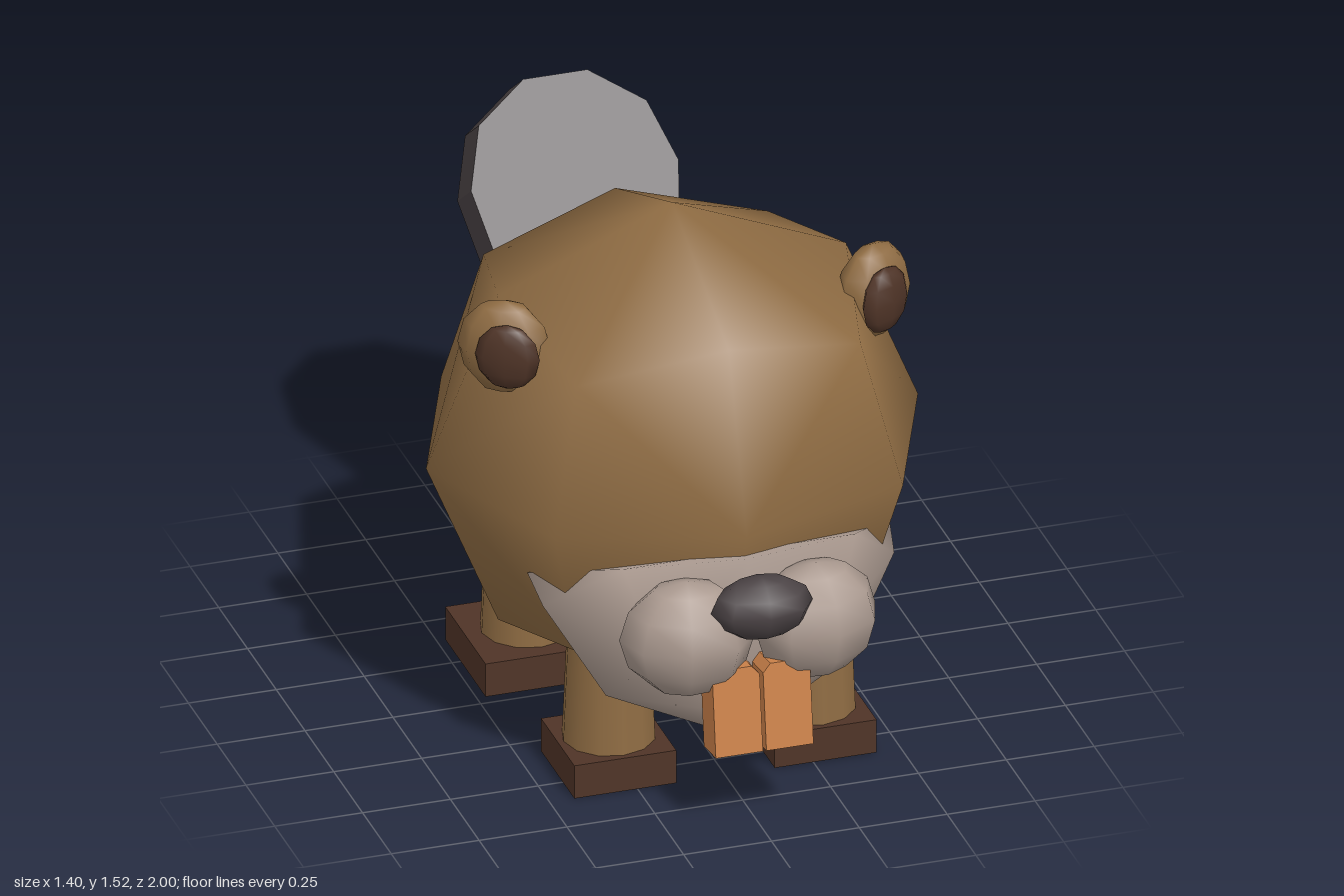
import * as THREE from 'three';
import { mergeVertices } from 'three/addons/utils/BufferGeometryUtils.js';
import { ConvexGeometry } from 'three/addons/geometries/ConvexGeometry.js';

function paint(name, color) {
  const m = new THREE.MeshStandardMaterial({ color });
  m.name = name;
  return m;
}

// Smooth-shaded convex hull around a few points
function smoothHull(points) {
  let g = new ConvexGeometry(points);
  g.deleteAttribute('normal');
  g = mergeVertices(g, 1e-4);
  g.computeVertexNormals();
  return g;
}

export function createModel() {
  const fur = paint('brownFur', 0x8f6c43);
  const darkBrown = paint('darkBrown', 0x4f3427);
  const charcoal = paint('charcoal', 0x4a4244);
  const pale = paint('paleMuzzle', 0xab9a90);
  const orange = paint('orangeTeeth', 0xcc824a);

  const model = new THREE.Group();
  model.name = 'animal';

  function add(name, geometry, material, x = 0, y = 0, z = 0) {
    const mesh = new THREE.Mesh(geometry, material);
    mesh.name = name;
    mesh.position.set(x, y, z);
    model.add(mesh);
    return mesh;
  }

  function ellipsoid(name, material, pos, radii, w = 8, h = 6) {
    const mesh = add(name, new THREE.SphereGeometry(1, w, h), material, ...pos);
    mesh.scale.set(...radii);
    return mesh;
  }

  // Body: a cube-shaped lattice pushed out to a ball, slightly flat front and back
  const ball = [];
  for (const i of [-1, 0, 1]) for (const j of [-1, 0, 1]) for (const k of [-1, 0, 1]) {
    if (!i && !j && !k) continue;
    const p = new THREE.Vector3(i, j, k).setLength(0.7);
    if (!i && !j) p.z *= 0.93;
    ball.push(p);
  }
  add('body', smoothHull(ball), fur, 0, 0.82, 0.135);

  // Pale lower face wrapped over the front of the body
  const mask = [[0, 0.76, 0.795], [0, 0.18, 0.72], [0, 0.3, 0.83]];
  for (const s of [-1, 1]) {
    mask.push([s * 0.33, 0.745, 0.72], [s * 0.515, 0.63, 0.45], [s * 0.5, 0.57, 0.54],
      [s * 0.34, 0.3, 0.6], [s * 0.25, 0.5, 0.79]);
  }
  add('lowerFace', smoothHull(mask.map(p => new THREE.Vector3(...p))), pale);

  // Nose
  ellipsoid('nose', charcoal, [0, 0.675, 0.915], [0.145, 0.09, 0.085]);

  // Tooth outline with clipped upper corners
  const toothShape = new THREE.Shape([[-0.067, -0.125], [0.067, -0.125], [0.067, 0.1],
    [0.045, 0.125], [-0.045, 0.125], [-0.067, 0.1]].map(p => new THREE.Vector2(...p)));
  const toothGeometry = new THREE.ExtrudeGeometry(toothShape, { depth: 0.105, bevelEnabled: false });
  toothGeometry.translate(0, 0, -0.0525);

  for (const s of [-1, 1]) {
    const side = s > 0 ? 'left' : 'right';

    // Cheeks and teeth
    const cheek = ellipsoid(side + 'Cheek', pale, [s * 0.183, 0.567, 0.825], [0.185, 0.168, 0.135]);
    cheek.rotation.y = s * 0.2;
    add(side + 'Tooth', toothGeometry, orange, s * 0.072, 0.363, 0.873).rotation.x = -0.13;

    // Ears turned outward
    const ear = ellipsoid(side + 'Ear', fur, [s * 0.525, 1.24, 0.28], [0.13, 0.14, 0.075]);
    ear.rotation.y = s * 0.55;
    const inner = ellipsoid(side + 'InnerEar', darkBrown, [s * 0.537, 1.24, 0.345], [0.09, 0.097, 0.035]);
    inner.rotation.y = s * 0.55;

    // Legs and square feet
    for (const [end, x, z, foot] of [['Front', 0.285, 0.455, 0.29], ['Back', 0.3, -0.21, 0.35]]) {
      add(side + end + 'Leg', new THREE.CylinderGeometry(0.105, 0.13, 0.6, 12), fur, s * x, 0.37, z);
      add(side + end + 'Foot', new THREE.BoxGeometry(foot, 0.1, foot), darkBrown, s * x, 0.05, z);
    }
  }

  // Paddle tail: ten-sided egg outline, narrowing toward the body
  const outline = [];
  for (let i = 0; i < 10; i++) {
    const a = i * Math.PI / 5;
    const along = Math.sin(a);
    outline.push(new THREE.Vector2(0.295 * Math.cos(a), along * (along > 0 ? 0.295 : 0.545)));
  }
  const tailGeometry = new THREE.ExtrudeGeometry(new THREE.Shape(outline), { depth: 0.15, bevelEnabled: false });
  add('tail', tailGeometry, charcoal, 0, 1.087, -0.83).rotation.x = -0.65;

  // Furry root where the tail meets the body
  const root = add('tailRoot', new THREE.CylinderGeometry(0.11, 0.09, 0.3, 8), fur, 0, 0.7, -0.42);
  root.rotation.x = -0.65;

  return model;
}
